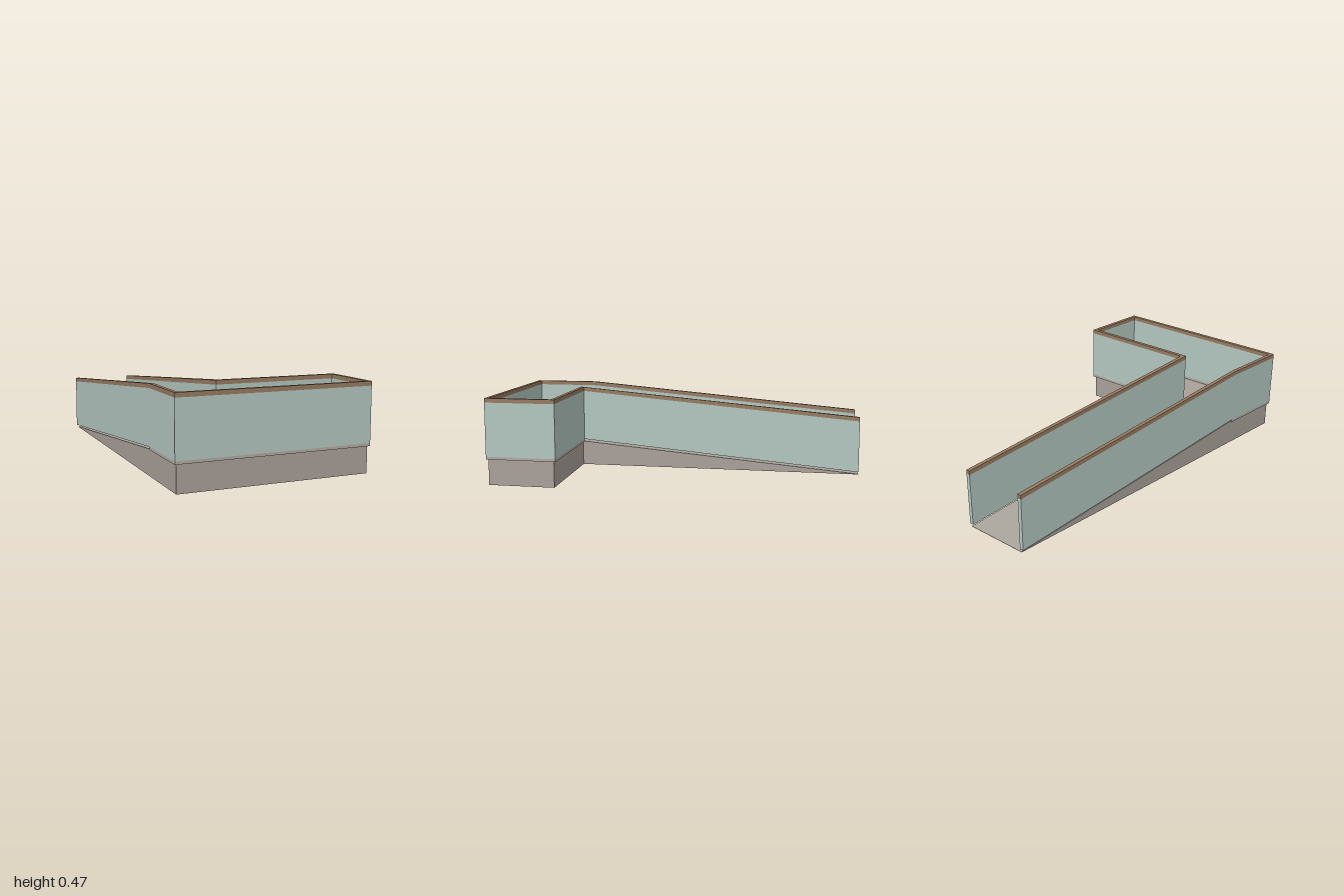
import * as THREE from 'three';

const DECK = 0.14, BEND = 0.624, HALF = 0.0105;

// Closed block over a four-cornered footprint [x, z], counter-clockwise from above
function block(corners, low, high) {
  const pos = [];
  const quad = (a, b, c, d) => pos.push(...a, ...b, ...c, ...a, ...c, ...d);
  const lo = corners.map(([x, z], i) => [x, low[i], z]);
  const hi = corners.map(([x, z], i) => [x, high[i], z]);
  quad(...hi);
  quad(lo[3], lo[2], lo[1], lo[0]);
  for (let i = 0; i < 4; i++) {
    const j = (i + 1) % 4;
    quad(lo[i], lo[j], hi[j], hi[i]);
  }
  const g = new THREE.BufferGeometry();
  g.setAttribute('position', new THREE.Float32BufferAttribute(pos, 3));
  g.computeVertexNormals();
  return g;
}

// Mitred left and right points along a path; the free ends are cut square to z
function offsets(path) {
  const normals = path.slice(1).map(([x, z], i) => {
    const dx = x - path[i][0], dz = z - path[i][1], l = Math.hypot(dx, dz);
    return [dz / l, -dx / l];
  });
  return path.map(([x, z], i) => {
    const a = normals[i - 1], b = normals[i];
    let m;
    if (!a || !b) m = [HALF / (a || b)[0], 0];
    else {
      const k = HALF / (1 + a[0] * b[0] + a[1] * b[1]);
      m = [(a[0] + b[0]) * k, (a[1] + b[1]) * k];
    }
    return { left: [x + m[0], z + m[1]], right: [x - m[0], z - m[1]] };
  });
}

// Floor height: level platform, then a ramp falling to the ground
const floorAt = (z) => (z >= BEND ? DECK : DECK * (z + 1) / (BEND + 1));

export function createModel() {
  const group = new THREE.Group();
  const material = (name, color) => {
    const m = new THREE.MeshStandardMaterial({ color });
    m.name = name;
    return m;
  };
  const concrete = material('concrete', 0xa9a099);
  const rampSurface = material('ramp surface', 0xaaa59c);
  const glass = material('pale green glass', 0xb3c6bf);
  const wood = material('brown wood', 0x967a60);
  const trim = material('light trim', 0xb2aaa1);
  const add = (name, geometry, mat, parent = group) => {
    const mesh = new THREE.Mesh(geometry, mat);
    mesh.name = name;
    parent.add(mesh);
  };

  // Railing line from the foot of the ramp, around the platform and back
  const path = [[-0.005, -1], [-0.153, BEND], [0.54, BEND], [0.507, 0.99],
    [-0.545, 0.99], [-0.511, BEND], [-0.36, -1]];
  const [footR, bendR, backR, frontR, frontL, bendL, footL] = path;

  // Platform and ramp bodies
  add('platform', block([bendL, frontL, frontR, backR], [0, 0, 0, 0], [DECK, DECK, DECK, DECK]), concrete);
  const rampPlan = [footL, bendL, bendR, footR];
  const rampTop = [0.001, DECK, DECK, 0.001];
  add('ramp', block(rampPlan, [0, 0, 0, 0], rampTop), concrete);
  add('rampFloor', block(rampPlan, rampTop, rampTop.map((y) => y + 0.001)), rampSurface);

  // Glass panels, handrails and the base trim under the level panels
  const edge = offsets(path);
  const railing = new THREE.Group();
  railing.name = 'railing';
  group.add(railing);
  for (let i = 0; i < path.length - 1; i++) {
    const p = edge[i], q = edge[i + 1];
    const plan = [p.right, q.right, q.left, p.left];
    const y0 = floorAt(path[i][1]), y1 = floorAt(path[i + 1][1]);
    const at = (h) => [y0 + h, y1 + h, y1 + h, y0 + h];
    add('glassPanel', block(plan, at(0.015), at(0.305)), glass, railing);
    add('handrail', block(plan, at(0.305), at(0.328)), wood, railing);
    if (y0 === DECK && y1 === DECK) add('baseTrim', block(plan, at(0), at(0.015)), trim, railing);
  }
  return group;
}
